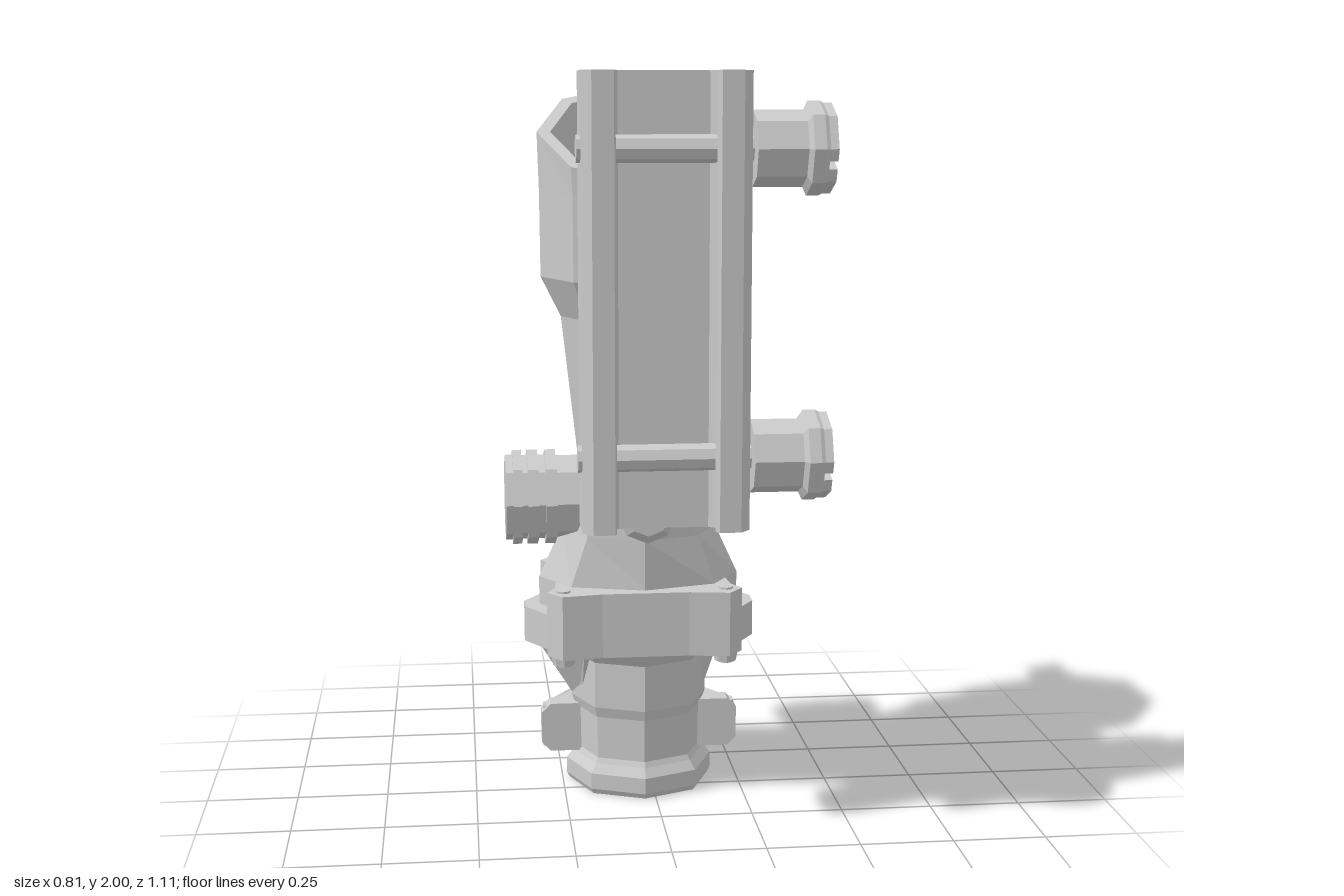
import * as THREE from 'three';

const CX = -0.03, CZ = -0.09; // optical axis
const mat = new THREE.MeshStandardMaterial({ color: 0xcccccc, flatShading: true });
const V = (pts) => pts.map(([x, y]) => new THREE.Vector2(x, y));

export function createModel() {
  const root = new THREE.Group();

  const add = (name, geo, x = 0, y = 0, z = 0) => {
    const m = new THREE.Mesh(geo, mat);
    m.name = name;
    m.position.set(x, y, z);
    root.add(m);
    return m;
  };
  // Octagonal turned part, profile points are [radius, height]
  const turned = (pts, sides = 8) => new THREE.LatheGeometry(V(pts), sides);
  const extrude = (pts, depth, holes = []) => {
    const s = new THREE.Shape(V(pts));
    s.holes.push(...holes);
    return new THREE.ExtrudeGeometry(s, { depth, bevelEnabled: false, curveSegments: 6 });
  };
  // Plan outline given as [x, z], raised along y
  const plan = (pts, h, holes) => extrude(pts.map(([x, z]) => [x, -z]), h, holes).rotateX(-Math.PI / 2);
  const mirrorX = (pts) => [...pts, ...pts.map(([x, z]) => [-x, z]).reverse()];
  const box = (name, w, h, d, x, y, z) => add(name, new THREE.BoxGeometry(w, h, d), x, y, z);
  const toward = {
    right: (m) => { m.rotation.z = -Math.PI / 2; },
    left: (m) => { m.rotation.z = Math.PI / 2; },
    front: (m) => { m.rotation.x = Math.PI / 2; },
    back: (m) => { m.rotation.x = -Math.PI / 2; },
  };

  // Objective tube with a slanted, hollow hood and a recessed lens
  const tube = turned([
    [0.165, 0.9], [0.17, 0.94], [0.215, 1.34], [0.27, 1.45], [0.272, 1.68],
    [0.277, 2], [0.24, 2], [0.237, 1.62], [0.222, 1.62], [0.222, 1.56], [0, 1.56],
  ]);
  const p = tube.attributes.position;
  for (let i = 0; i < p.count; i++) {
    if (p.getY(i) > 1.9) p.setY(i, 1.97 - (p.getZ(i) + 0.277) * 0.455);
  }
  add('objectiveTube', tube, CX, 0, CZ);
  box('hoodRib', 0.045, 0.48, 0.06, CX, 1.72, -0.35);
  add('hoodLug', extrude([[-0.34, 1.96], [-0.38, 1.96], [-0.4, 1.94], [-0.49, 1.94], [-0.49, 1.84],
    [-0.47, 1.82], [-0.4, 1.82], [-0.34, 1.78]].reverse(), 0.04).rotateY(-Math.PI / 2), CX + 0.02);

  // Turret housing, spreading sideways into the collar
  const housing = turned([[0, 0.5], [0.195, 0.5], [0.195, 0.6], [0.195, 0.74], [0.193, 0.91], [0.165, 0.94], [0, 0.94]]);
  const hp = housing.attributes.position;
  for (let i = 0; i < hp.count; i++) {
    const y = hp.getY(i);
    const k = y < 0.65 ? 1.45 : y < 0.8 ? 1.12 : 0.95;
    hp.setX(i, hp.getX(i) * k);
  }
  add('turretHousing', housing, CX, 0, CZ);

  // Adjustment turrets with grip rings
  const turretProfile = [[0.105, 0], [0.118, 0.05], [0.118, 0.16], [0.135, 0.16], [0.135, 0.19], [0.12, 0.19],
    [0.12, 0.21], [0.135, 0.21], [0.135, 0.24], [0.12, 0.24], [0.12, 0.255], [0.135, 0.255], [0.135, 0.28],
    [0.122, 0.28], [0.122, 0.3], [0, 0.3]];
  toward.left(add('leftTurret', turned(turretProfile), -0.105, 0.83, CZ));
  toward.back(add('backTurret', turned(turretProfile), CX, 0.83, -0.16));

  // Plain bosses opposite the turrets
  const bossProfile = [[0.085, 0], [0.08, 0.19], [0.055, 0.215], [0, 0.215]];
  toward.right(add('rightBoss', turned(bossProfile), 0.045, 0.83, CZ));
  toward.front(add('frontBoss', turned(bossProfile), CX, 0.83, -0.01));

  // Collar with four bolted ears and pointed side blocks
  const ears = [[0, 0.225], [0.12, 0.225], [0.23, 0.243], [0.27, 0.19], [0.245, 0.14], [0.235, 0],
    [0.245, -0.14], [0.27, -0.19], [0.23, -0.243], [0.12, -0.225], [0, -0.225]];
  add('collar', plan(mirrorX(ears), 0.18), CX, 0.42, CZ);
  add('collarSideBlocks', plan(mirrorX([[0.2, 0.17], [0.25, 0.15], [0.325, 0.03], [0.325, -0.03], [0.25, -0.15], [0.2, -0.17]]), 0.1), CX, 0.42, CZ);
  for (const sx of [-1, 1]) for (const sz of [-1, 1]) {
    add('collarBolt', new THREE.CylinderGeometry(0.02, 0.02, 0.215, 8), CX + sx * 0.225, 0.498, CZ + sz * 0.19);
    add('collarNut', new THREE.CylinderGeometry(0.035, 0.03, 0.03, 8), CX + sx * 0.225, 0.41, CZ + sz * 0.19);
  }

  // Eyepiece with a recessed rear lens
  add('eyepiece', turned([
    [0, 0.04], [0.165, 0.04], [0.18, 0], [0.2, 0], [0.208, 0.015], [0.208, 0.06], [0.188, 0.085],
    [0.18, 0.1], [0.182, 0.22], [0.192, 0.25], [0.192, 0.38], [0.22, 0.42], [0, 0.42],
  ]), CX, 0, CZ);

  // Tapered gussets below the collar
  const gusset = (name, side, reach, half) => {
    const g = new THREE.CylinderGeometry(1, 0.02, 0.19, 4);
    const gp = g.attributes.position;
    for (let i = 0; i < gp.count; i++) {
      const top = gp.getY(i) > 0;
      gp.setXYZ(i, gp.getX(i) * (top ? reach : 0.5), gp.getY(i), gp.getZ(i) * (top ? half : 1));
    }
    add(name, g, CX + side * 0.165, 0.325, CZ);
  };
  gusset('leftGusset', -1, 0.13, 0.15);
  gusset('rightGusset', 1, 0.075, 0.07);

  // Clamp around the eyepiece with a pierced rear tongue
  const hole = new THREE.Path().absarc(0, 0.41, 0.032, 0, Math.PI * 2);
  const clamp = plan(mirrorX([[0.19, 0.03], [0.255, 0.03], [0.275, 0.01], [0.275, -0.02], [0.25, -0.05], [0.19, -0.14],
    [0.11, -0.24], [0.075, -0.35], [0.05, -0.44], [0.025, -0.465]]), 0.12, [hole]);
  const cp = clamp.attributes.position;
  for (let i = 0; i < cp.count; i++) { // thin the tongue toward its tip
    const k = 1 - 0.45 * THREE.MathUtils.smoothstep(-cp.getZ(i), 0.14, 0.47);
    cp.setY(i, (cp.getY(i) - 0.06) * k);
  }
  add('eyepieceClamp', clamp, CX, 0.16, CZ);
  for (const s of [-1, 1]) {
    add('clampEar', extrude([[0, -0.07], [0.09, -0.07], [0.115, -0.045], [0.115, 0.045], [0.09, 0.07], [0, 0.07]], 0.06),
      CX + s * 0.165, 0.16, CZ - 0.03 + (s < 0 ? 0.06 : 0)).rotation.y = s < 0 ? Math.PI : 0;
    const bolt = add('clampScrew', new THREE.CylinderGeometry(0.035, 0.035, 0.08, 8), CX + s * 0.17, 0.16, -0.215);
    toward.right(bolt);
  }

  // Mounting rail with dovetail channel
  add('mountRail', plan([
    [-0.225, 0.35], [-0.2, 0.32], [0.11, 0.32], [0.12, 0.33], [0.13, 0.32], [0.175, 0.32], [0.2, 0.35], [0.2, 0.475],
    [0.175, 0.505], [0.12, 0.505], [0.11, 0.49], [0.135, 0.465], [0.1, 0.43], [-0.13, 0.43], [-0.165, 0.465],
    [-0.14, 0.49], [-0.145, 0.505], [-0.2, 0.505], [-0.225, 0.475],
  ].reverse(), 1.15), 0, 0.85, 0);

  // Web joining rail to tube
  add('mountWeb', extrude([
    [0.34, 0.83], [0.34, 1.95], [0.32, 1.97], [0.285, 1.965], [0.268, 1.94], [0.262, 1.85], [0.245, 1.78], [0.21, 1.735],
    [0.16, 1.72], [0.11, 1.7], [0.11, 1.45], [0.03, 1.2], [0.03, 0.95], [0.14, 0.83],
  ].reverse(), 0.16).rotateY(-Math.PI / 2), CX + 0.08);

  // Cross bolts with slotted clamp knobs
  const a = Math.PI / 8, R = 0.112;
  const halfCap = [[R * Math.cos(a), 0.01],
    ...[1, 3, 5, 7].map((k) => [R * Math.cos(k * a), R * Math.sin(k * a)]), [-R * Math.cos(a), 0.01]];
  for (const y of [1.035, 1.81]) {
    toward.right(add('crossBolt', new THREE.CylinderGeometry(0.035, 0.035, 0.44, 8), -0.015, y, 0.44));
    toward.right(add('clampKnob', turned([[0, 0], [0.095, 0], [0.095, 0.125], [0.117, 0.135], [0.117, 0.165], [0.112, 0.175], [0, 0.175]]), 0.205, y, 0.44));
    for (const turn of [0, Math.PI]) {
      add('knobSlottedCap', extrude(halfCap, 0.022).rotateZ(a + turn).rotateY(Math.PI / 2), 0.379, y, 0.44);
    }
  }
  return root;
}
